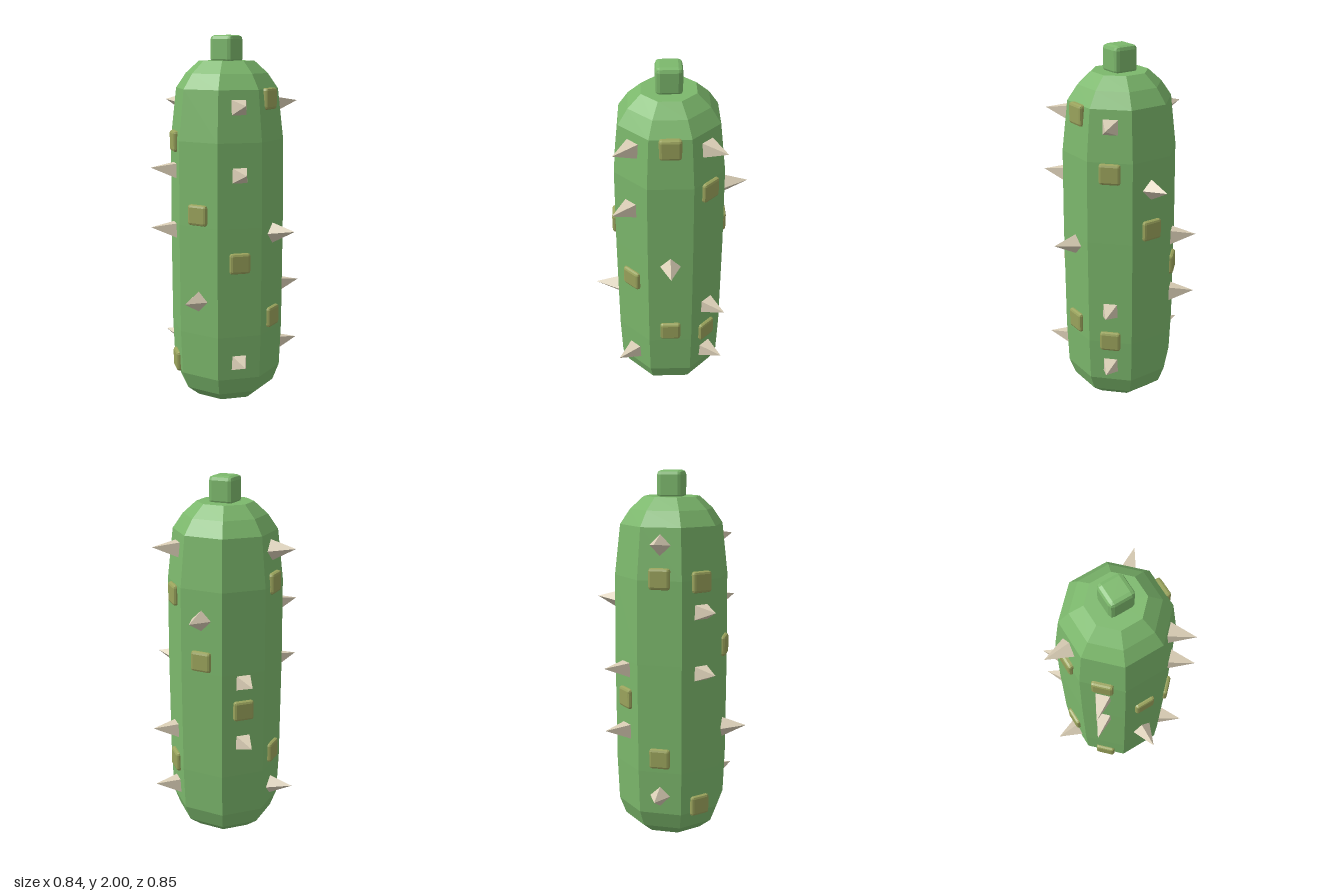
import * as THREE from 'three';
import { RoundedBoxGeometry } from 'three/addons/geometries/RoundedBoxGeometry.js';

// Body outline: [distance from axis to flat face, height]
const PROFILE = [
  [0, 0], [0.18, 0], [0.247, 0.06], [0.28, 0.155], [0.289, 0.4], [0.291, 1.0],
  [0.287, 1.45], [0.258, 1.72], [0.207, 1.8], [0.14, 1.865], [0, 1.865],
];

// Heights on each of the eight faces; the index counts 45 degree steps from +z towards +x
const SPIKES = [
  [0.59], [0.25, 1.28, 1.63], [0.95], [0.25, 0.6, 1.63],
  [1.29], [0.6, 0.95], [0.26, 1.63], [0.95, 1.28],
];
const STUDS = [
  [1.065], [0.81], [0.48, 1.67], [0.41, 1.39],
  [1.065], [0.79], [0.48, 1.46], [0.195, 1.44],
];

const flat = (color) => new THREE.MeshStandardMaterial({ color, flatShading: true });

// Distance from axis to face at a given height
function faceDistance(y) {
  const i = PROFILE.findIndex((p, k) => k > 1 && p[1] >= y);
  const [r0, y0] = PROFILE[i - 1];
  const [r1, y1] = PROFILE[i];
  return THREE.MathUtils.mapLinear(y, y0, y1, r0, r1);
}

export function createModel() {
  const model = new THREE.Group();
  model.name = 'spikyCactus';
  const green = flat(0x7cb86c);
  const bone = flat(0xd8ccb4);
  const olive = flat(0x9aa35c);

  const add = (name, geometry, material) => {
    const mesh = new THREE.Mesh(geometry, material);
    mesh.name = name;
    model.add(mesh);
    return mesh;
  };

  // Eight-sided body with flat faces towards the axes
  const outline = PROFILE.map(([r, y]) => new THREE.Vector2(r / Math.cos(Math.PI / 8), y));
  add('body', new THREE.LatheGeometry(outline, 8, Math.PI / 8), green);

  // Bevelled stub on top
  add('topStub', new RoundedBoxGeometry(0.138, 0.15, 0.138, 1, 0.023), green).position.y = 1.925;

  // Four-sided spikes, base at the origin
  const spikeGeometry = new THREE.ConeGeometry(0.062, 0.152, 4).translate(0, 0.076, 0);
  const studGeometry = new RoundedBoxGeometry(0.114, 0.112, 0.05, 1, 0.014);
  const up = new THREE.Vector3(0, 1, 0);

  for (let i = 0; i < 8; i++) {
    const angle = (i * Math.PI) / 4;
    const out = new THREE.Vector3(Math.sin(angle), 0, Math.cos(angle));

    // Spikes lean slightly upwards
    for (const y of SPIKES[i]) {
      const spike = add('spike', spikeGeometry, bone);
      spike.position.copy(out).multiplyScalar(faceDistance(y) - 0.016).setY(y);
      spike.quaternion.setFromUnitVectors(up, out.clone().setY(0.12).normalize());
    }

    // Studs sit half sunk in the face
    for (const y of STUDS[i]) {
      const stud = add('stud', studGeometry, olive);
      stud.position.copy(out).multiplyScalar(faceDistance(y) - 0.004).setY(y);
      stud.rotation.y = angle;
    }
  }

  model.position.x = -0.004;
  return model;
}
